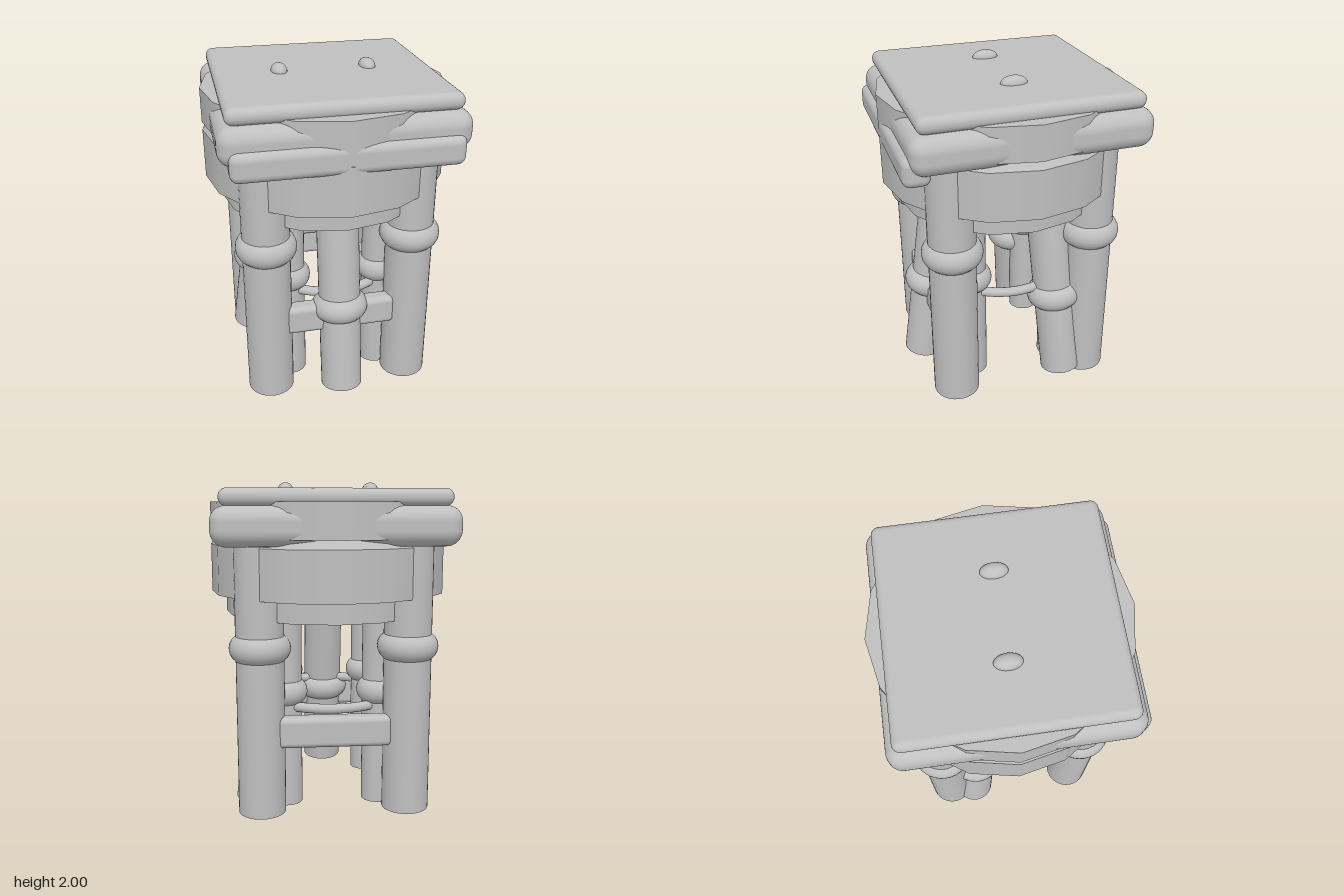
import * as THREE from 'three';
import { RoundedBoxGeometry } from 'three/addons/geometries/RoundedBoxGeometry.js';

export function createModel() {
  const model = new THREE.Group();
  const grey = new THREE.MeshStandardMaterial({ color: 0xbfbfbf });
  grey.name = 'plain grey';

  const add = (name, geometry, x = 0, y = 0, z = 0, parent = model) => {
    const mesh = new THREE.Mesh(geometry, grey);
    mesh.name = name;
    mesh.position.set(x, y, z);
    parent.add(mesh);
    return mesh;
  };
  // rounded block from its extents
  const block = (name, w, y0, y1, d, r, z = 0) =>
    add(name, new RoundedBoxGeometry(w, y1 - y0, d, 5, r), 0, (y0 + y1) / 2, z);
  // sixteen-sided drum from its extents
  const drum = (name, rTop, rBottom, y0, y1) =>
    add(name, new THREE.CylinderGeometry(rTop, rBottom, y1 - y0, 16), 0, (y0 + y1) / 2, 0);
  // round leg with a swollen ring around it
  const leg = (name, radius, height, ringY, ringRadius, tube) => {
    const group = new THREE.Group();
    group.name = name;
    add(name + 'Post', new THREE.CylinderGeometry(radius, radius, height, 32), 0, height / 2, 0, group);
    const ring = new THREE.TorusGeometry(ringRadius, tube, 20, 36).rotateX(Math.PI / 2);
    add(name + 'Ring', ring, 0, ringY, 0, group);
    model.add(group);
    return group;
  };

  // seat and the block under it
  block('seat', 1.32, 1.855, 1.955, 1.31, 0.048);
  block('seatBlock', 1.42, 1.63, 1.86, 1.41, 0.09);
  block('frontPlank', 1.31, 1.565, 1.74, 0.16, 0.05, 0.662);

  // seat buttons
  for (const side of [-1, 1]) {
    const button = add('button', new THREE.SphereGeometry(1, 24, 16), side * 0.27, 1.955, 0);
    button.scale.set(0.049, 0.045, 0.081);
  }

  // stacked drums
  drum('upperDrum', 0.745, 0.745, 1.67, 1.88);
  drum('drumShoulder', 0.71, 0.745, 1.62, 1.67);
  drum('lowerDrum', 0.745, 0.745, 1.32, 1.62);
  drum('innerDrum', 0.655, 0.655, 1.19, 1.32);

  // straight outer and inner legs at each corner
  for (const sx of [-1, 1]) for (const sz of [-1, 1]) {
    leg('outerLeg', 0.145, 1.7, 1.025, 0.095, 0.09).position.set(sx * 0.445, 0, sz * 0.44);
    leg('innerLeg', 0.1, 1.25, 0.72, 0.048, 0.088).position.set(sx * 0.29, 0, sz * 0.29);
  }

  // three splayed legs
  for (let i = 0; i < 3; i++) {
    const angle = (i * Math.PI * 2) / 3;
    const splayed = leg('splayedLeg', 0.13, 1.25, 0.555, 0.09, 0.085);
    splayed.position.set(Math.sin(angle) * 0.552, 0.019, Math.cos(angle) * 0.552);
    splayed.rotation.set(-0.139, angle, 0, 'YXZ');
  }

  // footrest hoop and the front and back rails
  add('footHoop', new THREE.TorusGeometry(0.42, 0.03, 14, 64).rotateX(Math.PI / 2), 0, 0.632, 0);
  for (const sz of [-1, 1]) block('rail', 0.69, 0.42, 0.61, 0.11, 0.035, sz * 0.485);

  return model;
}
